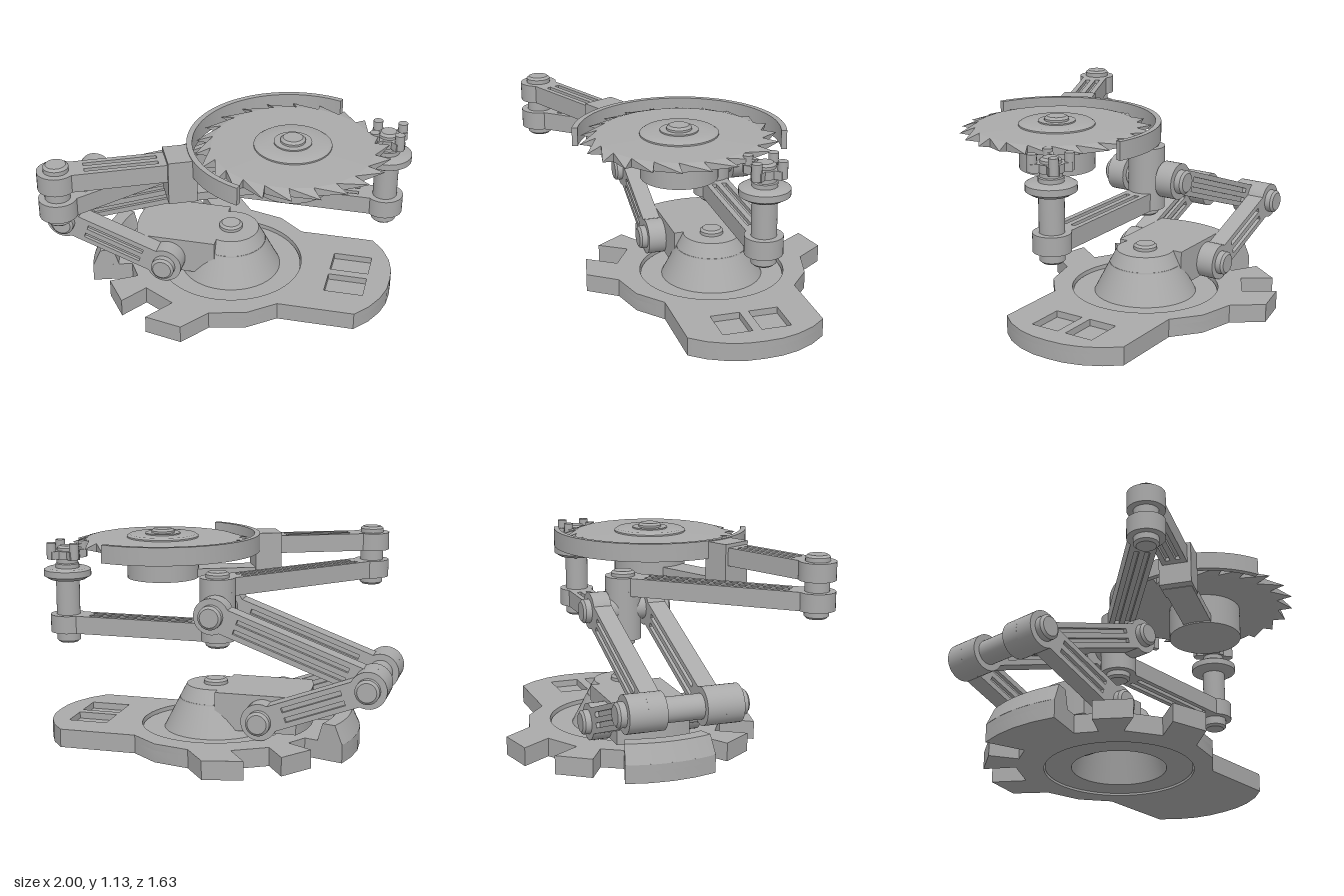
import * as THREE from 'three';
import { toCreasedNormals, mergeGeometries } from 'three/addons/utils/BufferGeometryUtils.js';

const steel = new THREE.MeshStandardMaterial({ color: 0xaaaaaa, side: THREE.DoubleSide });
steel.name = 'plain grey';
const CZ = -0.115; // z of the turntable axis

function add(parent, name, geo, x = 0, y = 0, z = 0) {
  const m = new THREE.Mesh(geo, steel);
  m.name = name;
  m.position.set(x, y, z);
  parent.add(m);
  return m;
}
function group(parent, name, x = 0, y = 0, z = 0) {
  const g = new THREE.Group();
  g.name = name;
  g.position.set(x, y, z);
  parent.add(g);
  return g;
}
const V = (p) => p.map(([x, y]) => new THREE.Vector2(x, y));
const lathe = (pts, seg = 40) => toCreasedNormals(new THREE.LatheGeometry(V(pts), seg), 0.6);
const cyl = (r, h, seg = 32) => new THREE.CylinderGeometry(r, r, h, seg);

// Plan outline (x, -z) extruded upwards from y = 0
function plan(shape, height) {
  const g = new THREE.ExtrudeGeometry(shape, { depth: height, bevelEnabled: false, curveSegments: 32 });
  return toCreasedNormals(g.rotateX(-Math.PI / 2), 0.6);
}
const rect = (x0, y0, x1, y1) => new THREE.Shape(V([[x0, y0], [x1, y0], [x1, y1], [x0, y1]]));

// Pin with chamfered ends, along y
function pin(parent, name, len, x = 0, y = 0, z = 0, r = 0.066) {
  const h = len / 2;
  return add(parent, name, lathe([[0, -h], [r - 0.014, -h], [r, -h + 0.012], [r, h - 0.012], [r - 0.014, h], [0, h]], 28), x, y, z);
}

// Arm lying along +x with round eyes and two grooves on each wide face
function arm(parent, name, len, farEye = true) {
  const g = group(parent, name);
  const bar = rect(0, -0.07, len, 0.07);
  for (const s of [0.028, -0.028]) bar.holes.push(rect(0.14, s - 0.013, len - 0.14, s + 0.013));
  add(g, 'armBar', plan(bar, 0.1), 0, -0.05, 0);
  add(g, 'grooveFloor', new THREE.BoxGeometry(len - 0.2, 0.06, 0.11), len / 2, 0, 0);
  add(g, 'armEye', cyl(0.1, 0.1));
  if (farEye) add(g, 'armEye', cyl(0.1, 0.1), len, 0, 0);
  return g;
}
// Horizontal arm between two plan points
function flatArm(parent, name, [x0, z0], [x1, z1], y) {
  const a = arm(parent, name, Math.hypot(x1 - x0, z1 - z0));
  a.position.set(x0, y, z0);
  a.rotation.y = Math.atan2(z0 - z1, x1 - x0);
}
// Upright arm between two points of the side elevation
function uprightArm(parent, name, [x0, y0], [x1, y1], z) {
  const g = group(parent, name, x0, y0, z);
  g.rotation.z = Math.atan2(y1 - y0, x1 - x0);
  arm(g, 'armBody', Math.hypot(x1 - x0, y1 - y0)).rotation.x = Math.PI / 2;
}

function buildBase(root) {
  const base = group(root, 'base', 0, 0, CZ);
  const half = [[-0.8, 0], [-0.79, 0.125], [-0.76, 0.25], [-0.545, 0.18], [-0.48, 0.29], [-0.62, 0.375],
    [-0.5, 0.545], [-0.4, 0.395], [-0.22, 0.5], [-0.33, 0.66], [-0.12, 0.705], [0, 0.545], [0.2, 0.495],
    [0.35, 0.375], [0.78, 0.375], [0.85, 0.29], [0.9, 0.19], [0.925, 0.095], [0.93, 0]];
  const outline = [...half, ...half.slice(1, -1).reverse().map(([x, y]) => [x, -y])];
  for (const [name, y, h, pockets] of [['basePlate', 0, 0.065, false], ['baseTop', 0.065, 0.037, true]]) {
    const s = new THREE.Shape(V(outline));
    s.holes.push(new THREE.Path().absarc(0, 0, 0.41, 0, Math.PI * 2, true));
    if (pockets) s.holes.push(rect(0.58, 0.025, 0.8, 0.19), rect(0.58, -0.19, 0.8, -0.025));
    add(base, name, plan(s, h), 0, y, 0);
  }
  // Curved counterweight ridge with closed ends
  const ridge = [[0.65, 0.1], [0.8, 0.1], [0.755, 0.2], [0.68, 0.2], [0.65, 0.1]];
  const a = 0.318;
  add(base, 'ridge', toCreasedNormals(new THREE.LatheGeometry(V(ridge), 12, -Math.PI / 2 - a, 2 * a), 0.6));
  for (const s of [-1, 1]) {
    add(base, 'ridgeEnd', new THREE.ShapeGeometry(new THREE.Shape(V(ridge)))).rotation.y = Math.PI + s * a;
  }
  // Hollow conical turntable
  add(base, 'turntable', lathe([[0, 0.25], [0.2, 0.25], [0.26, 0.01], [0.405, 0.01], [0.405, 0.08], [0.285, 0.08],
    [0.16, 0.325], [0, 0.325]], 48));
  pin(base, 'turntableCap', 0.1, 0, 0.305, 0);
  // Shoulder bracket with a slightly rounded back
  const b = new THREE.Shape();
  b.moveTo(-0.05, -0.205);
  b.lineTo(-0.05, 0.205);
  b.lineTo(-0.5, 0.205);
  b.quadraticCurveTo(-0.58, 0, -0.5, -0.205);
  add(base, 'shoulderBracket', plan(b, 0.205), 0, 0.12, 0);
}

// Saw disc whose teeth taper to sharp tips
function sawGeometry(n, root, tip, t) {
  const pos = [];
  const P = (r, a, y) => [r * Math.cos(a), y, r * Math.sin(a)];
  const tri = (...p) => p.forEach((q) => pos.push(...q));
  const d = (Math.PI * 2) / n;
  for (let i = 0; i < n; i++) {
    const a = i * d, b = a + d, T = P(tip, a - 0.04, 0);
    for (const s of [1, -1]) {
      const c = [0, s * t, 0], A = P(root, a, s * t * 0.8), B = P(root, b, s * t * 0.8);
      if (s > 0) { tri(c, B, A); tri(A, B, T); } else { tri(c, A, B); tri(B, A, T); }
    }
    tri(P(root, a, t * 0.8), T, P(root, a, -t * 0.8));
    tri(P(root, b, t * 0.8), P(root, b, -t * 0.8), T);
  }
  const g = new THREE.BufferGeometry();
  g.setAttribute('position', new THREE.Float32BufferAttribute(pos, 3));
  g.computeVertexNormals();
  return g;
}

function buildSaw(root) {
  // Carrier: local +x runs from the wrist pin to the saw axis
  const c = group(root, 'sawCarrier', -0.72, 0, 0.71);
  c.rotation.y = Math.atan2(0.52, 1.12);
  arm(c, 'sawArm', 0.66, false).position.y = 1.03;
  add(c, 'carrierBlock', new THREE.BoxGeometry(0.15, 0.24, 0.18), 0.635, 0.98, 0);
  add(c, 'carrierShelf', new THREE.BoxGeometry(0.5, 0.045, 0.16), 0.86, 0.88, 0);

  const saw = group(root, 'saw', 0.4, 0, 0.19);
  add(saw, 'sawMotor', cyl(0.205, 0.19, 48), 0, 0.945, 0);
  add(saw, 'sawBlade', sawGeometry(22, 0.43, 0.515, 0.03), 0, 1.055, 0);
  add(saw, 'sawClamp', lathe([[0, 1.04], [0.205, 1.04], [0.205, 1.09], [0.19, 1.1], [0.1, 1.1], [0.1, 1.107], [0, 1.107]], 48));
  pin(saw, 'sawCap', 0.06, 0, 1.1, 0);
  // Half-ring blade guard
  const start = THREE.MathUtils.degToRad(71), end = THREE.MathUtils.degToRad(251);
  const g = new THREE.Shape();
  g.absarc(0, 0, 0.555, start, end, false);
  g.absarc(0, 0, 0.525, end, start, true);
  add(saw, 'bladeGuard', plan(g, 0.1), 0, 1.005, 0);
}

function buildGripper(root) {
  const g = group(root, 'toolPost', 0.865, 0, CZ);
  pin(g, 'postShaft', 0.46, 0, 0.74, 0);
  add(g, 'postFlange', lathe([[0, 0.87], [0.1, 0.87], [0.132, 0.89], [0.132, 0.925], [0.115, 0.935], [0, 0.935]], 36));
  add(g, 'postNeck', cyl(0.06, 0.09), 0, 0.965, 0);
  // Cross-shaped head with four studs
  const parts = [cyl(0.075, 0.045, 8)];
  for (let i = 0; i < 4; i++) {
    const a = Math.PI / 4 + (i * Math.PI) / 2, x = Math.cos(a), z = Math.sin(a);
    parts.push(new THREE.BoxGeometry(0.1, 0.045, 0.06).rotateY(-a).translate(x * 0.055, 0, z * 0.055));
    parts.push(cyl(0.026, 0.09, 16).translate(x * 0.095, 0.025, z * 0.095));
  }
  add(g, 'toolHead', mergeGeometries(parts), 0, 1.01, 0);
  pin(g, 'toolCap', 0.05, 0, 1.035, 0, 0.055);
}

export function createModel() {
  const model = new THREE.Group();
  model.name = 'robotArm';
  buildBase(model);

  // Paired links: outer lower links, inner upper links
  const shoulder = [-0.32, 0.205], knee = [-0.9, 0.42], elbow = [-0.03, 0.74];
  for (const s of [-1, 1]) {
    uprightArm(model, 'lowerLink', shoulder, knee, CZ + s * 0.255);
    uprightArm(model, 'upperLink', knee, elbow, CZ + s * 0.155);
  }
  for (const [name, [x, y], len] of [['shoulderPin', shoulder, 0.7], ['kneePin', knee, 0.7], ['elbowPin', elbow, 0.5]]) {
    pin(model, name, len, x, y, CZ).rotation.x = Math.PI / 2;
  }

  // Elbow hub and the two swinging arms
  add(model, 'elbowHub', cyl(0.1, 0.2), -0.01, 0.745, CZ);
  pin(model, 'elbowSwivel', 0.42, -0.01, 0.74, CZ);
  flatArm(model, 'toolArm', [-0.01, CZ], [0.865, CZ], 0.62);
  flatArm(model, 'sawLink', [-0.01, CZ], [-0.72, 0.71], 0.87);
  pin(model, 'wristPin', 0.34, -0.72, 0.945, 0.71);

  buildSaw(model);
  buildGripper(model);
  return model;
}
